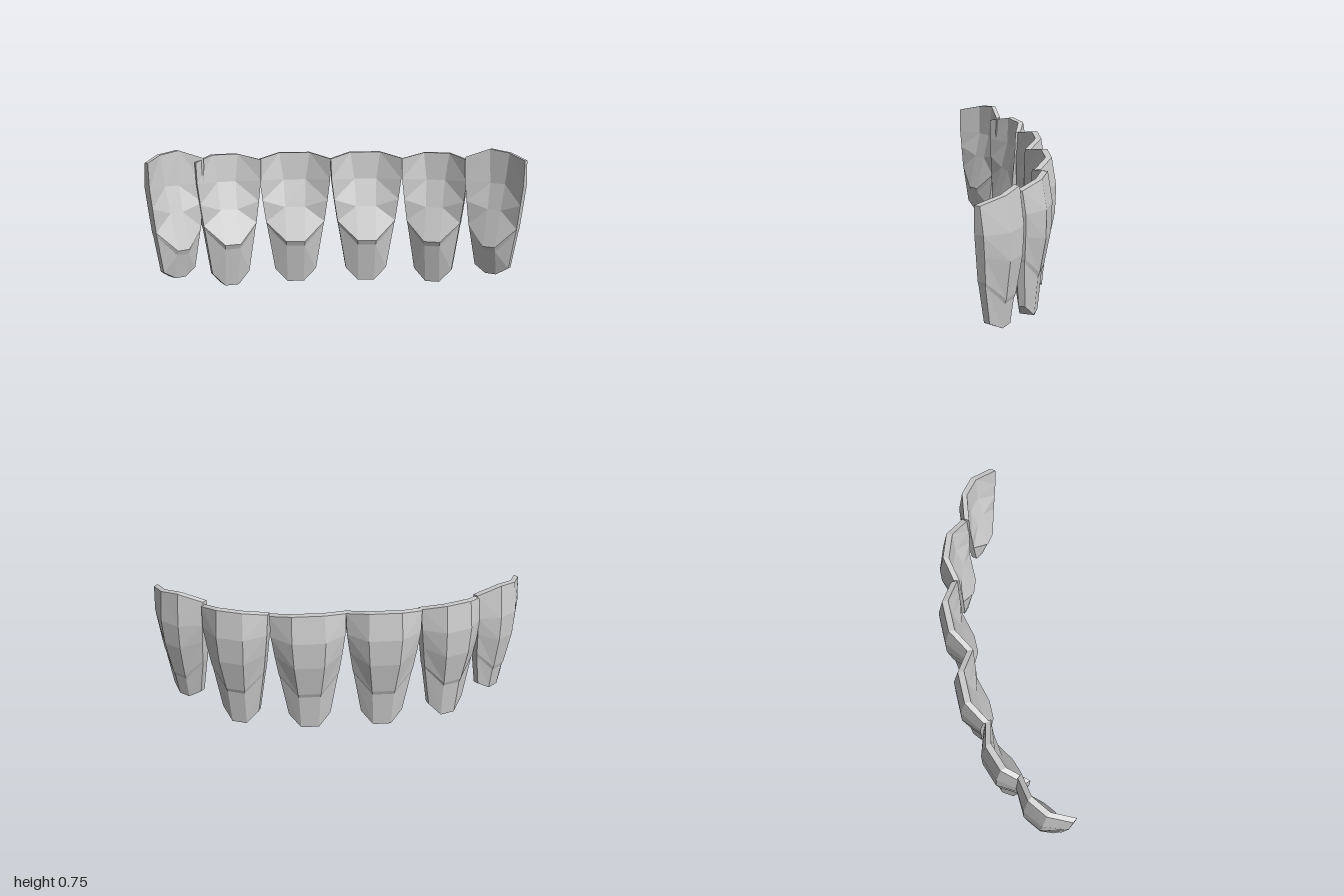
import * as THREE from 'three';

const material = new THREE.MeshStandardMaterial({ color: 0xcccccc, flatShading: true });

// Cross-sections from biting edge to root tip:
// half-widths of the outer face, inner face and sides, then depths (outward is positive)
// of the outer face, side back, side front and inner face.
const sections = [
  { outer: 0.085, inner: 0.085, side: 0.200, d: [0.090, 0.018, -0.015, 0.057] }, // biting edge
  { outer: 0.088, inner: 0.062, side: 0.196, d: [0.115, 0.035, -0.018, 0.043] }, // widest bulge
  { outer: 0.080, inner: 0.056, side: 0.181, d: [0.112, 0.032, -0.020, 0.000] },
  { outer: 0.062, inner: 0.052, side: 0.163, d: [0.080, 0.025, -0.022, -0.067] }, // crown rim
  { outer: 0.058, inner: 0.050, side: 0.158, d: [0.070, 0.021, -0.020, -0.057] }, // start of root
  { outer: 0.050, inner: 0.046, side: 0.115, d: [0.052, 0.018, -0.016, -0.026] }, // root tip
];

// Heights of each section as [middle, sides].
const incisorHeights = [[0.72, 0.69], [0.57, 0.575], [0.42, 0.46], [0.235, 0.34], [0.21, 0.32], [0, 0.07]];
const canineHeights = [[0.747, 0.71], [0.57, 0.575], [0.43, 0.47], [0.235, 0.34], [0.21, 0.32], [0.08, 0.12]];

// core scales the width of the middle facets, width that of the sides
function toothGeometry(heights, width, core, depth, tilt) {
  const positions = [];
  const index = [];
  sections.forEach((s, r) => {
    const [mid, edge] = heights[r];
    const [back, sideBack, sideFront, front] = s.d.map((w) => -w * depth);
    const lean = r === 0 ? tilt : 0;
    const side = s.side * width;
    const outer = s.outer * core;
    const inner = s.inner * core;
    // Eight corners, counter-clockwise from above
    positions.push(
      -outer, mid - lean, back, -side, edge, sideBack, -side, edge, sideFront, -inner, mid - lean, front,
      inner, mid + lean, front, side, edge, sideFront, side, edge, sideBack, outer, mid + lean, back,
    );
  });
  const quad = (a, b, c, d) => index.push(a, b, c, a, c, d);
  // Walls, with the diagonals mirrored between the two halves
  for (let r = 0; r < sections.length - 1; r++) {
    for (let i = 0; i < 8; i++) {
      const j = (i + 1) % 8;
      const up = r * 8;
      const low = up + 8;
      if (i < 4) quad(low + i, low + j, up + j, up + i);
      else quad(low + j, up + j, up + i, low + i);
    }
  }
  // Biting edge and root tip
  const last = (sections.length - 1) * 8;
  for (const [a, b, c, d] of [[1, 2, 3, 0], [0, 3, 4, 7], [7, 4, 5, 6]]) {
    quad(a, b, c, d);
    quad(last + d, last + c, last + b, last + a);
  }
  const indexed = new THREE.BufferGeometry();
  indexed.setAttribute('position', new THREE.Float32BufferAttribute(positions, 3));
  indexed.setIndex(index);
  const geometry = indexed.toNonIndexed();
  geometry.computeVertexNormals();
  return geometry;
}

export function createModel() {
  const group = new THREE.Group();
  group.name = 'toothRow';
  const central = { heights: incisorHeights, width: 1, core: 1, depth: 1 };
  const lateral = { heights: incisorHeights, width: 0.92, core: 0.84, depth: 0.98 };
  const canine = { heights: canineHeights, width: 0.86, core: 0.68, depth: 0.9 };
  // Placement along the arch; turn is in degrees, tilt raises one end of the biting edge
  const teeth = [
    { name: 'leftCentralIncisor', kind: central, x: 0.18, z: -0.12, turn: 0, tilt: 0 },
    { name: 'rightCentralIncisor', kind: central, x: -0.22, z: -0.12, turn: 0, tilt: 0 },
    { name: 'leftLateralIncisor', kind: lateral, x: 0.555, z: -0.047, turn: -19, tilt: 0 },
    { name: 'rightLateralIncisor', kind: lateral, x: -0.585, z: -0.05, turn: 19, tilt: 0 },
    { name: 'leftCanine', kind: canine, x: 0.853, z: 0.122, turn: -37, tilt: -0.008 },
    { name: 'rightCanine', kind: canine, x: -0.858, z: 0.083, turn: 38, tilt: 0.008 },
  ];
  for (const { name, kind, x, z, turn, tilt } of teeth) {
    const geometry = toothGeometry(kind.heights, kind.width, kind.core, kind.depth, tilt);
    const tooth = new THREE.Mesh(geometry, material);
    tooth.name = name;
    tooth.position.set(x, 0, z);
    tooth.rotation.y = THREE.MathUtils.degToRad(turn);
    group.add(tooth);
  }
  return group;
}
